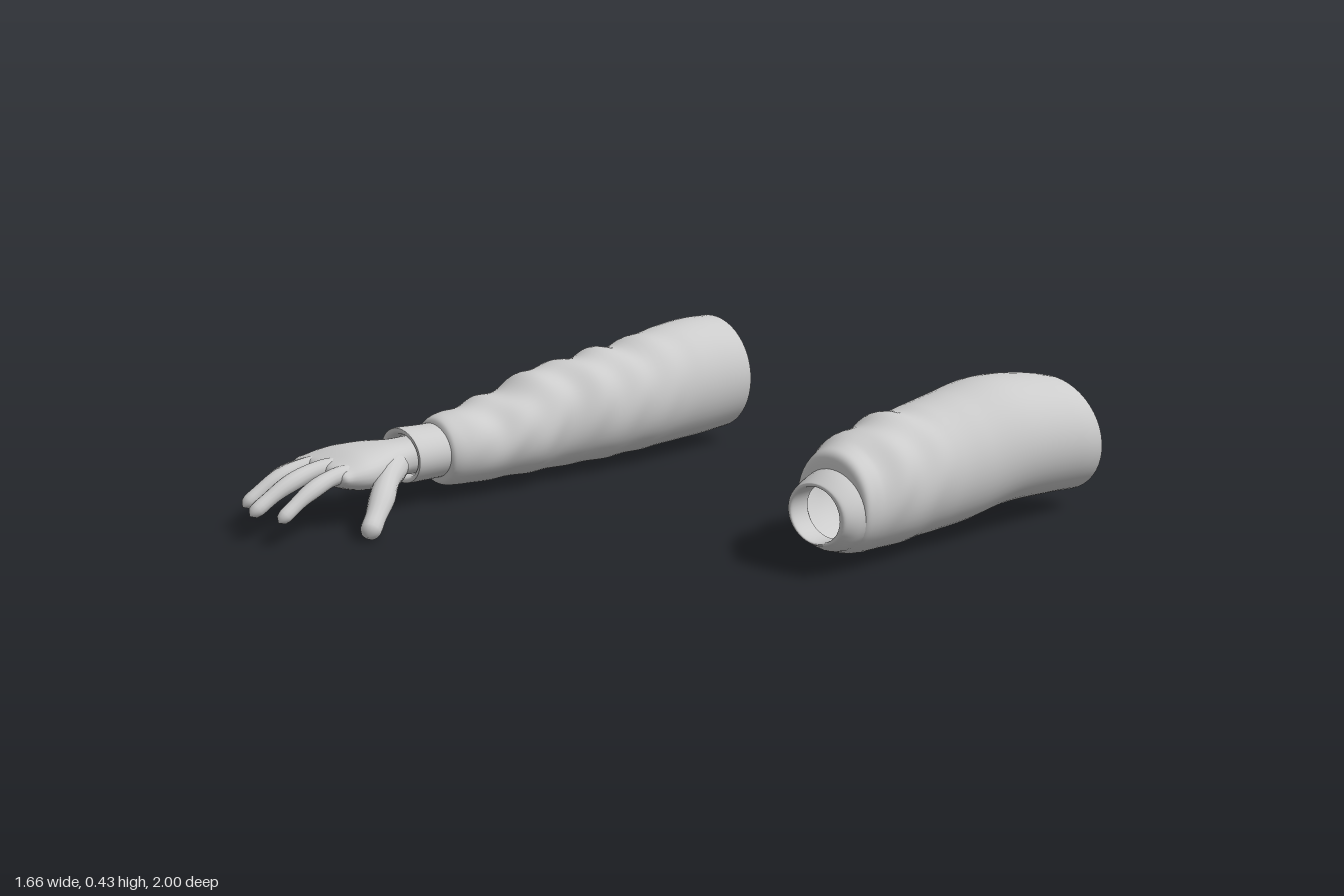
import * as THREE from 'three';
import { mergeVertices } from 'three/addons/utils/BufferGeometryUtils.js';

const material = new THREE.MeshStandardMaterial({ color: 0xcccccc, side: THREE.DoubleSide });

function part(name, geometry) {
  const mesh = new THREE.Mesh(geometry, material);
  mesh.name = name;
  return mesh;
}

// Skin through cross-sections [z, left x, right x, bottom y, top y], smoothly interpolated.
// swell(z, a) pushes the surface outward, shift(z, a) slides it along z.
function loft(sections, { rings = 60, sides = 40, power = 1, swell = () => 0, shift = () => 0 } = {}) {
  const low = new THREE.CatmullRomCurve3(sections.map(s => new THREE.Vector3(s[1], s[3], s[0])), false, 'catmullrom', 0.5);
  const high = new THREE.CatmullRomCurve3(sections.map(s => new THREE.Vector3(s[2], s[4], s[0])), false, 'catmullrom', 0.5);
  const position = [], index = [];
  const round = v => Math.sign(v) * Math.abs(v) ** power;
  for (let i = 0; i <= rings; i++) {
    const p = low.getPoint(i / rings), q = high.getPoint(i / rings);
    for (let j = 0; j < sides; j++) {
      const a = j / sides * Math.PI * 2, d = swell(p.z, a);
      position.push(
        (p.x + q.x) / 2 + ((q.x - p.x) / 2 + d) * round(Math.cos(a)),
        (p.y + q.y) / 2 + ((q.y - p.y) / 2 + d) * round(Math.sin(a)),
        p.z + shift(p.z, a));
      if (i === rings) continue;
      const k = (j + 1) % sides, b = i * sides, c = b + sides;
      index.push(b + j, b + k, c + j, b + k, c + k, c + j);
    }
  }
  const g = new THREE.BufferGeometry();
  g.setAttribute('position', new THREE.Float32BufferAttribute(position, 3));
  g.setIndex(index);
  g.computeVertexNormals();
  return g;
}

// Tapered finger with a rounded tip
function digit(points, radius) {
  const n = 24, sides = 14;
  const curve = new THREE.CatmullRomCurve3(points.map(p => new THREE.Vector3(...p)));
  let g = new THREE.TubeGeometry(curve, n, radius, sides);
  const pos = g.attributes.position, v = new THREE.Vector3();
  for (let i = 0; i <= n; i++) {
    const t = i / n, c = curve.getPointAt(t);
    const tip = Math.sqrt(Math.max(0, 1 - (Math.max(0, t - 0.88) / 0.12) ** 2));
    const knuckle = 1 + 0.06 * Math.cos((t - 0.55) * 14);
    const f = (1 - 0.3 * t) * tip * knuckle;
    for (let j = 0; j <= sides; j++) {
      const k = i * (sides + 1) + j;
      v.fromBufferAttribute(pos, k).sub(c).multiplyScalar(f).add(c);
      pos.setXYZ(k, v.x, v.y, v.z);
    }
  }
  g.deleteAttribute('uv');
  g.deleteAttribute('normal');
  g = mergeVertices(g, 1e-5);
  g.computeVertexNormals();
  return g;
}

// Slanting cloth folds between z = from and z = to, strongest on the upper side
function folds(from, to, size) {
  return (z, a) => {
    const t = (z - from) / (to - from);
    if (t <= 0 || t >= 1) return 0;
    const fade = Math.min(1, 4 * t, 5 * (1 - t));
    const wave = Math.sin(z * 42 + 1.6 * Math.sin(a + 0.6) + 0.9 * Math.sin(3 * a))
      + 0.6 * Math.sin(z * 27 - 2 * Math.cos(a) + 2);
    return size * fade * wave * (0.6 + 0.4 * Math.sin(a));
  };
}

function rightArm() {
  const arm = new THREE.Group();
  arm.name = 'rightArm';

  // Long sleeve, curling in to the cuff at the wrist
  arm.add(part('rightSleeve', loft([
    [-0.80, -0.83, -0.45, 0.035, 0.42],
    [-0.68, -0.81, -0.445, 0.03, 0.425],
    [-0.55, -0.79, -0.44, 0.03, 0.415],
    [-0.32, -0.78, -0.44, 0.025, 0.38],
    [-0.13, -0.772, -0.46, 0.025, 0.36],
    [-0.02, -0.775, -0.475, 0.025, 0.34],
    [0.08, -0.77, -0.475, 0.028, 0.31],
    [0.19, -0.768, -0.49, 0.03, 0.275],
    [0.30, -0.75, -0.508, 0.035, 0.262],
    [0.35, -0.732, -0.525, 0.045, 0.25],
    [0.365, -0.72, -0.545, 0.07, 0.225],
  ], { rings: 110, sides: 48, swell: folds(-0.6, 0.36, 0.0065) })));

  // Cuff with its edge turned in
  arm.add(part('rightCuff', loft([
    [0.34, -0.73, -0.54, 0.068, 0.232],
    [0.40, -0.733, -0.538, 0.068, 0.233],
    [0.465, -0.743, -0.538, 0.068, 0.235],
    [0.474, -0.738, -0.543, 0.072, 0.23],
    [0.468, -0.722, -0.555, 0.085, 0.217],
    [0.44, -0.715, -0.56, 0.09, 0.212],
  ], { rings: 25 })));

  // Palm and fingers
  const hand = new THREE.Group();
  hand.name = 'rightHand';
  hand.add(part('palm', loft([
    [0.42, -0.705, -0.555, 0.095, 0.207],
    [0.50, -0.715, -0.555, 0.10, 0.205],
    [0.58, -0.755, -0.52, 0.085, 0.21],
    [0.66, -0.78, -0.497, 0.09, 0.207],
    [0.72, -0.787, -0.505, 0.105, 0.192],
    [0.755, -0.775, -0.525, 0.125, 0.177],
    [0.765, -0.65, -0.65, 0.15, 0.15],
  ], { rings: 36, sides: 32, power: 0.85 })));
  const digits = {
    littleFinger: [0.026, [-0.755, 0.14, 0.67], [-0.768, 0.142, 0.74], [-0.78, 0.115, 0.82], [-0.79, 0.062, 0.885]],
    ringFinger: [0.029, [-0.69, 0.15, 0.67], [-0.704, 0.158, 0.76], [-0.712, 0.13, 0.86], [-0.72, 0.07, 0.96]],
    middleFinger: [0.03, [-0.62, 0.155, 0.67], [-0.62, 0.165, 0.77], [-0.614, 0.138, 0.88], [-0.61, 0.075, 1.0]],
    indexFinger: [0.029, [-0.56, 0.15, 0.67], [-0.545, 0.158, 0.76], [-0.528, 0.13, 0.86], [-0.515, 0.07, 0.965]],
    thumb: [0.042, [-0.575, 0.145, 0.54], [-0.52, 0.13, 0.60], [-0.455, 0.085, 0.67], [-0.385, 0.015, 0.762]],
  };
  for (const [name, [radius, ...points]] of Object.entries(digits)) hand.add(part(name, digit(points, radius)));
  arm.add(hand);
  return arm;
}

function leftArm() {
  const arm = new THREE.Group();
  arm.name = 'leftArm';

  // Short sleeve, cut at a slant at the shoulder end
  const slant = (z, a) => THREE.MathUtils.clamp((-0.75 - z) / 0.25, 0, 1)
    * (0.03 * (1 + Math.sin(a)) + 0.05 * Math.max(0, -Math.cos(a)));
  arm.add(part('leftSleeve', loft([
    [-1.0, 0.465, 0.818, 0.04, 0.395],
    [-0.87, 0.447, 0.825, 0.05, 0.415],
    [-0.66, 0.437, 0.816, 0.055, 0.428],
    [-0.50, 0.437, 0.797, 0.032, 0.405],
    [-0.38, 0.437, 0.782, 0.024, 0.385],
    [-0.20, 0.445, 0.772, 0.02, 0.365],
    [-0.12, 0.462, 0.766, 0.025, 0.345],
    [-0.06, 0.485, 0.762, 0.035, 0.33],
    [-0.025, 0.505, 0.757, 0.05, 0.31],
    [-0.015, 0.53, 0.735, 0.07, 0.265],
  ], { rings: 100, sides: 48, swell: folds(-0.38, -0.02, 0.006), shift: slant })));

  // Open cuff with its edge turned in
  arm.add(part('leftCuff', loft([
    [-0.05, 0.515, 0.755, 0.05, 0.285],
    [0.0, 0.52, 0.75, 0.055, 0.268],
    [0.035, 0.53, 0.738, 0.075, 0.25],
    [0.043, 0.537, 0.726, 0.08, 0.243],
    [0.035, 0.546, 0.716, 0.085, 0.235],
    [-0.02, 0.546, 0.716, 0.085, 0.235],
  ], { rings: 25 })));
  return arm;
}

export function createModel() {
  const model = new THREE.Group();
  model.name = 'sleevedArms';
  model.add(rightArm(), leftArm());
  return model;
}
